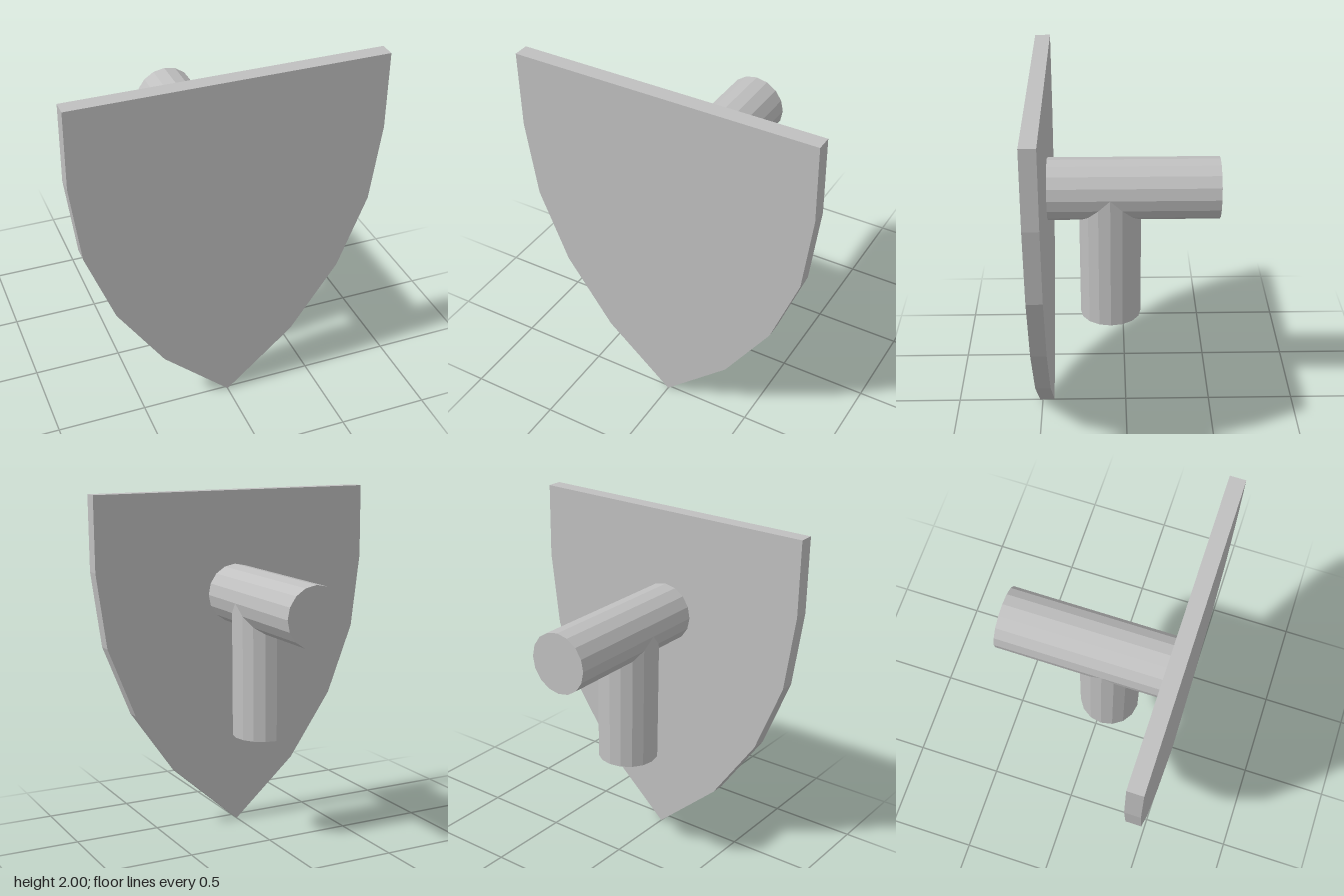
import * as THREE from 'three';

export function createModel() {
  const group = new THREE.Group();
  const grey = new THREE.MeshStandardMaterial({ color: 0xc0c0c0, flatShading: true });
  grey.name = 'plain grey';

  const add = (name, geometry, x, y, z) => {
    const mesh = new THREE.Mesh(geometry, grey);
    mesh.name = name;
    mesh.position.set(x, y, z);
    group.add(mesh);
    return mesh;
  };

  // Shield plate: half outline from the tip up, mirrored
  const half = [[0.38, 0.34], [0.645, 0.725], [0.805, 1.135], [0.862, 1.57], [0.862, 2]];
  const outline = [[0, 0], ...half, ...half.map(([x, y]) => [-x, y]).reverse()];
  const shape = new THREE.Shape(outline.map(([x, y]) => new THREE.Vector2(x, y)));
  const backZ = 0.43, frontZ = 0.517;
  add('shieldPlate', new THREE.ExtrudeGeometry(shape, { depth: frontZ - backZ, bevelEnabled: false }), 0, 0, backZ);

  // Arm running back from the plate, and grip hanging from its axis
  const radius = 0.172, sides = 16, armY = 1.4, armEnd = -0.517;
  const armLength = backZ - armEnd;
  const arm = new THREE.CylinderGeometry(radius, radius, armLength, sides).rotateX(Math.PI / 2);
  add('arm', arm, 0, armY, (backZ + armEnd) / 2);

  const gripBottom = 0.622, gripLength = armY - gripBottom;
  add('grip', new THREE.CylinderGeometry(radius, radius, gripLength, sides), 0, gripBottom + gripLength / 2, 0.087);

  return group;
}
